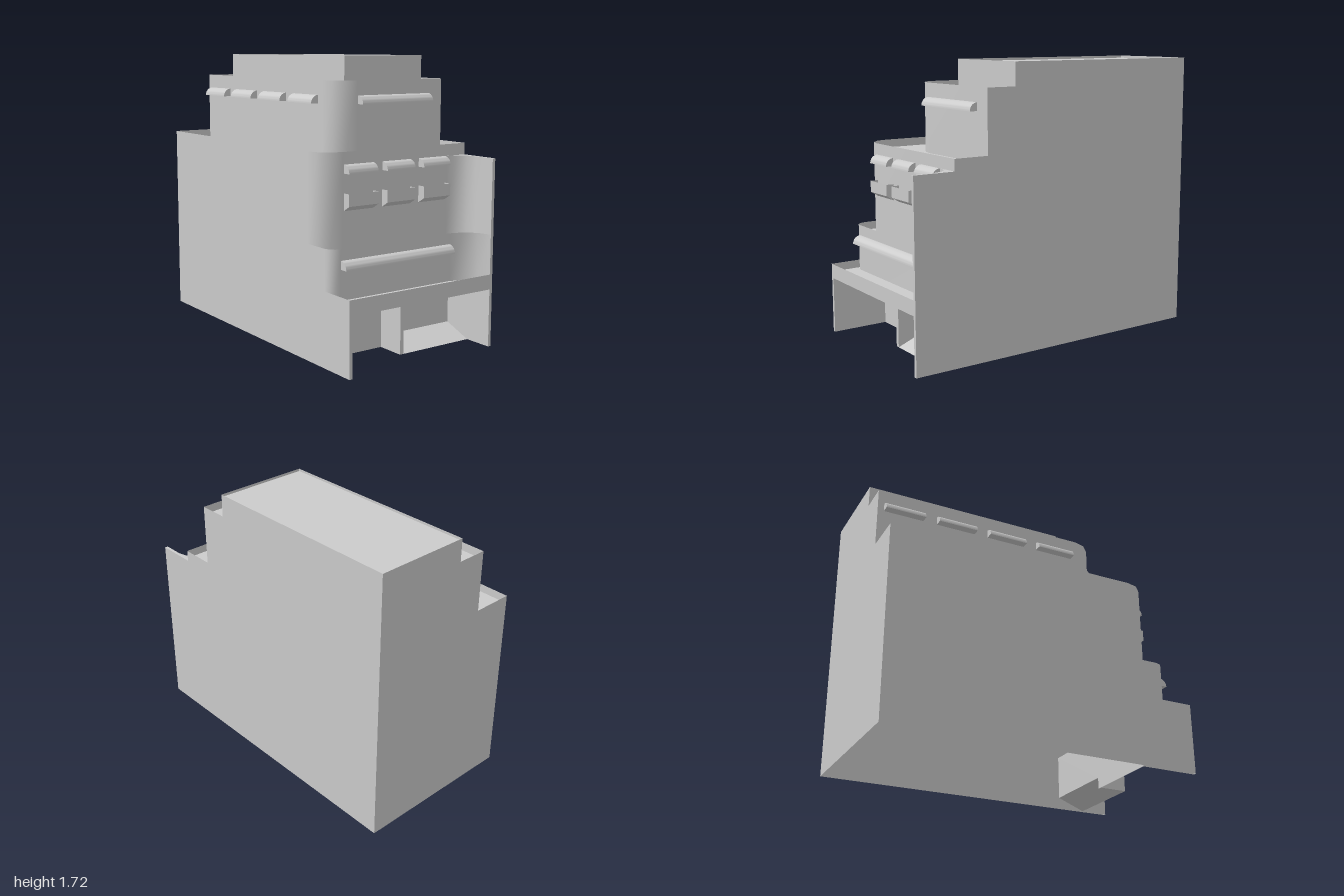
import * as THREE from 'three';
import { toCreasedNormals } from 'three/addons/utils/BufferGeometryUtils.js';

const material = new THREE.MeshStandardMaterial({ color: 0xcccccc, side: THREE.DoubleSide });
const W = 0.525, JAMB = 0.505; // half width, inner face of the side walls

// Points of a circular arc in plan (x, z), angles in degrees
function arc(cx, cz, r, from, to, segments = 3) {
  return Array.from({ length: segments + 1 }, (_, i) => {
    const a = THREE.MathUtils.degToRad(from + (to - from) * i / segments);
    return [cx + r * Math.cos(a), cz + r * Math.sin(a)];
  });
}

export function createModel() {
  const model = new THREE.Group();

  const add = (name, geometry) => {
    const mesh = new THREE.Mesh(geometry, material);
    mesh.name = name;
    model.add(mesh);
    return mesh;
  };
  const flat = (points) => new THREE.ShapeGeometry(new THREE.Shape(points.map(([x, y]) => new THREE.Vector2(x, y))));

  // Flat panels: facing front (x, y), facing left or right (z, y), and level (x, z)
  const frontPanel = (name, points, z) => add(name, flat(points).translate(0, 0, z));
  const backPanel = (name, points, z) => add(name, flat(points.map(([x, y]) => [-x, y])).rotateY(Math.PI).translate(0, 0, z));
  const minusXPanel = (name, points, x) => add(name, flat(points).rotateY(-Math.PI / 2).translate(x, 0, 0));
  const plusXPanel = (name, points, x) => add(name, flat(points.map(([z, y]) => [-z, y])).rotateY(Math.PI / 2).translate(x, 0, 0));
  const deck = (name, points, y) => add(name, flat(points.map(([x, z]) => [x, -z])).rotateX(-Math.PI / 2).translate(0, y, 0));
  const rect = (a0, a1, b0, b1) => [[a0, b0], [a1, b0], [a1, b1], [a0, b1]];

  // Upright wall following a plan path, smooth round its corners
  const wall = (name, path, y0, y1, startNormal) => {
    const position = [], index = [];
    path.forEach(([x, z], i) => {
      position.push(x, y0, z, x, y1, z);
      if (i) {
        const a = 2 * i - 2;
        index.push(a, a + 2, a + 3, a, a + 3, a + 1);
      }
    });
    const geometry = new THREE.BufferGeometry();
    geometry.setAttribute('position', new THREE.Float32BufferAttribute(position, 3));
    geometry.setIndex(index);
    geometry.computeVertexNormals();
    if (startNormal) for (const i of [0, 1]) geometry.attributes.normal.setXYZ(i, ...startNormal);
    return add(name, geometry);
  };

  // Plan paths of the stepped storeys, from the rounded corner to the +x wall
  const lowerLeft = arc(-0.46, 0.765, 0.065, 180, 90);
  const lowerPath = [...lowerLeft, ...arc(0.335, 1, 0.17, -90, 0)];
  const middleLeft = arc(-0.38, 0.595, 0.145, 180, 90);
  const middleSweep = [...arc(0.38, 0.865, 0.125, -90, 0), [JAMB, 1]];
  const middlePath = [...middleLeft, ...middleSweep];
  const upperPath = [[-0.265, -1], ...arc(-0.115, 0.37, 0.15, 180, 90), [W, 0.52]];
  const topPath = [[-0.075, -1], [-0.075, 0.33], [W, 0.33]];

  // Outer side and back walls
  plusXPanel('leftWall', [[-1, 0], [1, 0], [1, 1.13], [0.74, 1.13], [0.74, 1.2], [0.52, 1.2],
    [0.52, 1.58], [0.33, 1.58], [0.33, 1.72], [-1, 1.72]], W);
  minusXPanel('rightWall', [[-1, 0], [1, 0], [1, 0.44], [0.765, 0.44], [0.765, 0.68],
    [0.595, 0.68], [0.595, 1.2], [-1, 1.2]], -W);
  backPanel('backWall', [[-W, 0], [W, 0], [W, 1.72], [-0.075, 1.72], [-0.075, 1.58],
    [-0.265, 1.58], [-0.265, 1.2], [-W, 1.2]], -1);

  // Ground floor front with its recessed entrance
  frontPanel('groundFloorFront', [[-W, 0], [-JAMB, 0], [-JAMB, 0.35], [JAMB, 0.35], [JAMB, 0],
    [W, 0], [W, 1.13], [JAMB, 1.13], [JAMB, 0.44], [-W, 0.44]], 1);
  frontPanel('entranceBackWall', rect(-JAMB, -0.025, 0, 0.35), 0.64);
  frontPanel('shopBackWall', rect(0, JAMB, 0.07, 0.35), 0.64);
  deck('entranceCeiling', rect(-JAMB, JAMB, 0.64, 1), 0.35);
  plusXPanel('entranceSide', rect(0.64, 1, 0, 0.35), -JAMB);
  minusXPanel('entranceSide', rect(0.64, 1, 0, 0.35), JAMB);
  add('entranceDivider', new THREE.BoxGeometry(0.025, 0.35, 0.18)).position.set(-0.0125, 0.175, 0.73);

  // Sloping floor of one half of the entrance
  const rampLength = Math.hypot(0.18, 0.07);
  const ramp = add('entranceRamp', new THREE.PlaneGeometry(JAMB, rampLength).rotateX(-Math.PI / 2));
  ramp.rotation.x = Math.atan2(0.07, 0.18);
  ramp.position.set(JAMB / 2, 0.035, 0.73);

  // Storey fronts, each rising past its deck as a parapet
  wall('lowerStoreyFront', lowerPath, 0.39, 0.68, [-1, 0, 0]);
  wall('middleStoreyFront', [...middleLeft, [0.38, 0.74]], 0.63, 1.2, [-1, 0, 0]);
  wall('middleStoreySweep', middleSweep, 0.63, 1.13, [0, 0, 1]);
  wall('middleParapetEnd', [[0.38, 0.74], [W, 0.74]], 1.13, 1.2);
  wall('upperStoreyWall', upperPath, 1.15, 1.58);
  wall('penthouseSide', topPath.slice(0, 2), 1.53, 1.72);
  wall('penthouseFront', topPath.slice(1), 1.53, 1.72);

  // Decks and roofs between the storeys
  const reversed = (path) => [...path].reverse();
  deck('lowerDeck', [...lowerPath, [-W, 1]], 0.39);
  deck('middleLedge', [...lowerPath, ...reversed(middlePath).slice(1)], 0.63);
  deck('sweepCap', [...middleSweep, [W, 1], [W, 0.74]], 1.13);
  deck('upperTerrace', [...middleLeft, [W, 0.74], ...reversed(upperPath), [-W, -1]], 1.15);
  deck('penthouseTerrace', [...upperPath, ...reversed(topPath)], 1.53);
  deck('roof', rect(-0.075, W, -1, 0.33), 1.705);

  // Quarter-round awnings
  const awning = (length, angle, x, y, z) => {
    const shape = new THREE.Shape();
    shape.moveTo(0, 0);
    shape.lineTo(0.05, 0);
    shape.absarc(0, 0, 0.05, 0, Math.PI / 2);
    shape.closePath();
    const geometry = new THREE.ExtrudeGeometry(shape, { depth: length, bevelEnabled: false, curveSegments: 6 });
    const mesh = add('awning', toCreasedNormals(geometry, 0.6));
    mesh.rotation.y = angle;
    mesh.position.set(x, y, z);
  };
  const frontAwning = (x0, x1, y, z) => awning(x1 - x0, -Math.PI / 2, x1, y, z);
  frontAwning(-0.46, 0.335, 0.565, 0.83);
  frontAwning(-0.115, 0.42, 1.443, 0.52);
  for (const z of [-0.705, -0.36, -0.015, 0.33]) awning(0.255, Math.PI, -0.265, 1.443, z);

  // Three windows, each with an awning above an open balcony box
  for (const x of [-0.273, -0.003, 0.267]) {
    const h = 0.1025, z0 = 0.74, z1 = 0.79;
    frontAwning(x - h, x + h, 1.08, z0);
    const side = [[z0, 0.87], [z1, 0.9], [z1, 0.97], [z0, 0.97]];
    minusXPanel('balconySide', side, x - h);
    plusXPanel('balconySide', side, x + h);
    frontPanel('balconyFront', rect(x - h, x + h, 0.9, 0.97), z1);
    const base = add('balconyBase', new THREE.PlaneGeometry(2 * h, Math.hypot(0.05, 0.03)).rotateX(Math.PI / 2));
    base.rotation.x = -Math.atan2(0.03, 0.05);
    base.position.set(x, 0.885, (z0 + z1) / 2);
  }

  return model;
}
